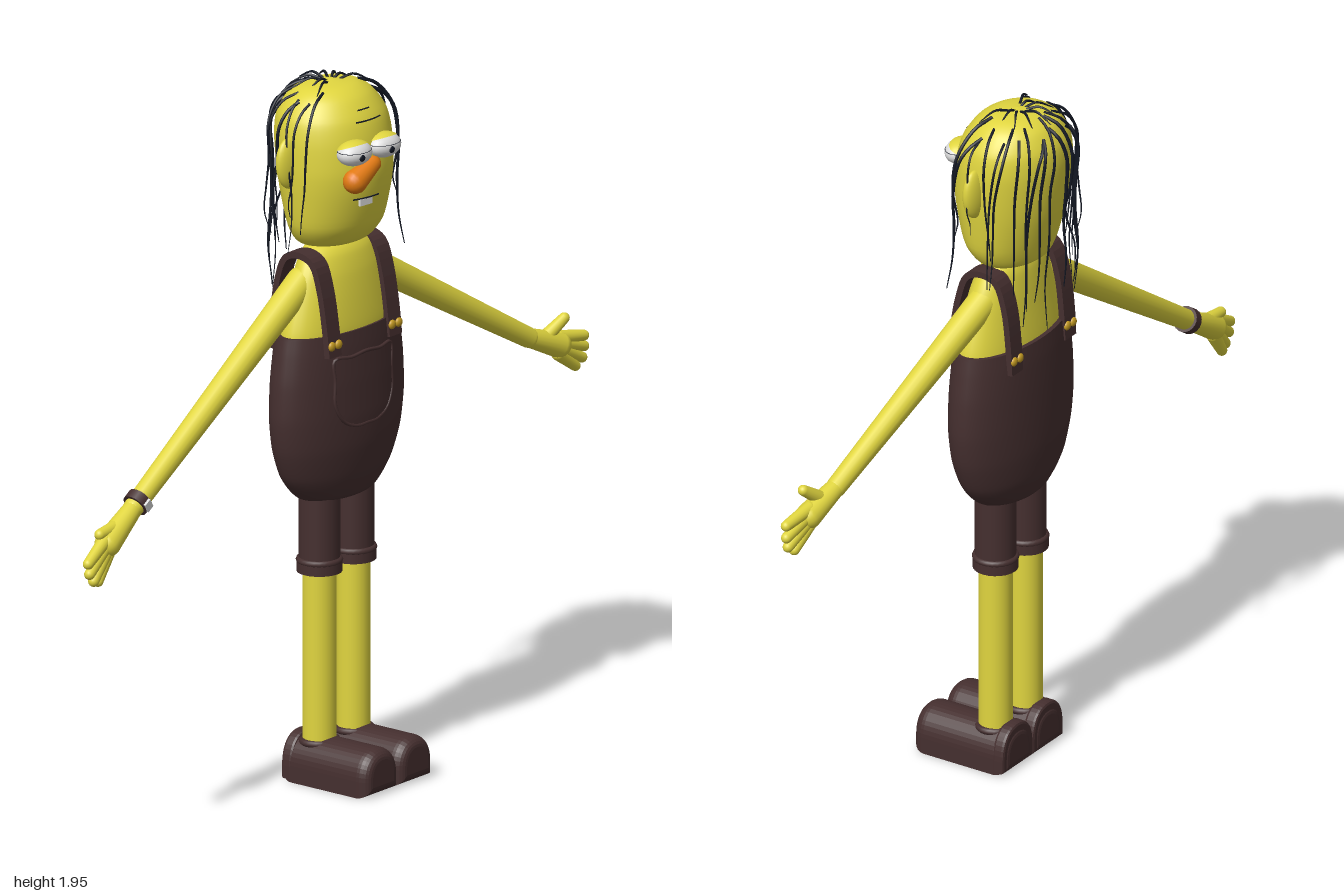
import * as THREE from 'three';

const V = (x, y, z) => new THREE.Vector3(x, y, z);
const mat = (name, color) => Object.assign(new THREE.MeshStandardMaterial({ color }), { name });
const CZ = -0.066; // body centre line in z
const YAW = 0.11; // slight turn of the body

// Cross-section rows: [y, centre x, half depth x, half width z]
const HEAD = [
  [1.494, -0.03, 0, 0], [1.495, -0.03, 0.05, 0.075], [1.512, -0.027, 0.085, 0.118],
  [1.56, -0.02, 0.11, 0.148], [1.65, -0.02, 0.135, 0.162], [1.72, -0.022, 0.146, 0.168],
  [1.8, -0.03, 0.147, 0.168], [1.86, -0.036, 0.136, 0.157], [1.91, -0.04, 0.105, 0.122],
  [1.935, -0.04, 0.065, 0.078], [1.945, -0.04, 0, 0],
];
const PANTS = [
  [0.79, -0.018, 0, 0], [0.795, -0.018, 0.068, 0.12], [0.82, -0.018, 0.085, 0.163],
  [0.87, -0.018, 0.1, 0.204], [0.95, -0.016, 0.111, 0.236], [1.04, -0.015, 0.114, 0.25],
  [1.14, -0.015, 0.113, 0.247], [1.22, -0.015, 0.11, 0.236], [1.275, -0.015, 0.105, 0.226],
];
const TORSO = [
  [1.2, -0.015, 0.096, 0.222], [1.28, -0.012, 0.094, 0.212], [1.36, -0.012, 0.085, 0.187],
  [1.43, -0.014, 0.075, 0.16], [1.48, -0.018, 0.063, 0.13], [1.505, -0.022, 0.045, 0.09],
  [1.51, -0.022, 0, 0],
];

// Stack of elliptical rings, smoothed between the rows
function loft(rows, seg = 40, steps = 48) {
  const centre = new THREE.CatmullRomCurve3(rows.map(r => V(r[0], r[1], 0)), false, 'catmullrom', 0.4);
  const radii = new THREE.CatmullRomCurve3(rows.map(r => V(r[2], r[3], 0)), false, 'catmullrom', 0.4);
  const pos = [], idx = [];
  for (let i = 0; i <= steps; i++) {
    const c = centre.getPoint(i / steps), r = radii.getPoint(i / steps);
    for (let j = 0; j < seg; j++) {
      const a = j / seg * Math.PI * 2;
      pos.push(c.y + Math.max(r.x, 0) * Math.cos(a), c.x, CZ + Math.max(r.y, 0) * Math.sin(a));
      if (i === steps) continue;
      const p = i * seg + j, q = i * seg + (j + 1) % seg;
      idx.push(p, p + seg, q, q, p + seg, q + seg);
    }
  }
  const g = new THREE.BufferGeometry();
  g.setAttribute('position', new THREE.Float32BufferAttribute(pos, 3));
  g.setIndex(idx);
  g.computeVertexNormals();
  return g;
}

function rowAt(rows, y) {
  let i = 0;
  while (i < rows.length - 2 && rows[i + 1][0] < y) i++;
  const t = THREE.MathUtils.clamp((y - rows[i][0]) / (rows[i + 1][0] - rows[i][0]), 0, 1);
  return rows[i].map((v, k) => v + (rows[i + 1][k] - v) * t);
}

// Point on the front of a lofted part, u = sideways offset from the centre
function front(rows, y, u, off = 0) {
  const [, cx, rx, rz] = rowAt(rows, y);
  return V(cx + rx * Math.sqrt(Math.max(0, 1 - (u / rz) ** 2)) + off, y, CZ + u);
}

// Strand that thins out towards its tip
function strandGeometry(pts, r, seg = 24) {
  const curve = new THREE.CatmullRomCurve3(pts), g = new THREE.TubeGeometry(curve, seg, r, 6);
  const pos = g.attributes.position, v = V(0, 0, 0);
  for (let i = 0; i < pos.count; i++) {
    const t = Math.floor(i / 7) / seg;
    v.fromBufferAttribute(pos, i).lerp(curve.getPointAt(t), 0.75 * t * t);
    pos.setXYZ(i, v.x, v.y, v.z);
  }
  return g;
}

export function createModel() {
  const skin = mat('skin yellow', 0xe0d53f), brown = mat('overall brown', 0x452f2f);
  const black = mat('hair black', 0x131824), white = mat('eye white', 0xdedede);
  const orange = mat('nose orange', 0xe27a12), gold = mat('button gold', 0xc39a22);
  const root = new THREE.Group(), body = new THREE.Group();
  body.name = 'body';
  body.rotation.y = YAW;
  body.position.set(-CZ * Math.sin(YAW), 0, CZ * (1 - Math.cos(YAW)));
  root.add(body);
  let current = body;
  const add = (name, geo, m, parent = current) => {
    const mesh = new THREE.Mesh(geo, m);
    mesh.name = name;
    parent.add(mesh);
    return mesh;
  };
  const ball = (name, m, p, r) => {
    const b = add(name, new THREE.SphereGeometry(1, 24, 16), m);
    b.position.copy(p);
    b.scale.set(...r);
    return b;
  };
  const tube = (name, m, pts, r, closed = false, seg = 24) =>
    add(name, new THREE.TubeGeometry(new THREE.CatmullRomCurve3(pts, closed), seg, r, 6, closed), m);
  // Tapered limb with round ends
  const limb = (name, m, a, b, ra, rb) => {
    const len = a.distanceTo(b), pts = [];
    for (let i = 0; i <= 6; i++) {
      const t = (i / 6 - 1) * Math.PI / 2;
      pts.push(new THREE.Vector2(ra * Math.cos(t), ra * Math.sin(t)));
    }
    for (let i = 0; i <= 6; i++) {
      const t = i / 6 * Math.PI / 2;
      pts.push(new THREE.Vector2(rb * Math.cos(t), len + rb * Math.sin(t)));
    }
    const l = add(name, new THREE.LatheGeometry(pts, 18), m);
    l.position.copy(a);
    l.quaternion.setFromUnitVectors(V(0, 1, 0), b.clone().sub(a).normalize());
  };

  // Torso and overalls
  add('torso', loft(TORSO), skin);
  add('overalls', loft(PANTS), brown);
  const rim = add('overallsRim', new THREE.CircleGeometry(1, 40).rotateX(-Math.PI / 2), brown);
  rim.position.set(-0.015, 1.274, CZ);
  rim.scale.set(0.105, 1, 0.226);

  // Chest pocket: curved plate with a raised border
  const halfWidth = t => 0.115 * Math.min(1, 0.45 + 0.95 * Math.sqrt(t));
  const plate = new THREE.PlaneGeometry(2, 1, 14, 14), pp = plate.attributes.position;
  const pocketPoint = (s, t, off) => front(PANTS, 1.012 + 0.195 * t, 0.012 - s * halfWidth(t), off);
  for (let i = 0; i < pp.count; i++) {
    const p = pocketPoint(pp.getX(i), pp.getY(i) + 0.5, 0.005);
    pp.setXYZ(i, p.x, p.y, p.z);
  }
  plate.computeVertexNormals();
  add('pocket', plate, brown);
  const border = [[-1, 1], [-1, 0.7], [-1, 0.35], [-1, 0.1], [-0.8, 0], [0, 0], [0.8, 0], [1, 0.1],
    [1, 0.35], [1, 0.7], [1, 1], [0.5, 1], [0, 1.03], [-0.5, 1]];
  tube('pocketBorder', brown, border.map(([s, t]) => pocketPoint(s, t, 0.003)), 0.005, true, 70);

  // Shoulder straps with buttons
  const arch = new THREE.CatmullRomCurve3([V(-0.108, 1.215, 0), V(-0.103, 1.3, 0), V(-0.088, 1.41, 0),
    V(-0.06, 1.478, 0), V(-0.015, 1.492, 0), V(0.03, 1.475, 0), V(0.056, 1.41, 0), V(0.076, 1.3, 0), V(0.085, 1.222, 0)]);
  const outer = [], inner = [];
  for (let i = 0; i <= 32; i++) {
    const p = arch.getPoint(i / 32), t = arch.getTangent(i / 32);
    outer.push(new THREE.Vector2(p.x - t.y * 0.009, p.y + t.x * 0.009));
    inner.unshift(new THREE.Vector2(p.x + t.y * 0.009, p.y - t.x * 0.009));
  }
  const strapGeo = new THREE.ExtrudeGeometry(new THREE.Shape([...outer, ...inner]), { depth: 0.052, bevelEnabled: false });
  for (const s of [1, -1]) {
    const z = CZ + 0.009 + s * 0.128;
    add('strap', strapGeo, brown).position.z = z - 0.026;
    for (const x of [0.092, -0.115])
      for (const d of [-0.014, 0.014]) ball('strapButton', gold, V(x, 1.255, z + d), [0.008, 0.013, 0.013]);
  }

  // Legs, cuffs and shoes
  const dShape = (w, h) => {
    const s = new THREE.Shape();
    s.moveTo(-w, 0);
    s.lineTo(w, 0);
    s.lineTo(w, h * 0.25);
    s.bezierCurveTo(w, h * 0.75, w * 0.6, h, 0, h);
    s.bezierCurveTo(-w * 0.6, h, -w, h * 0.75, -w, h * 0.25);
    return s;
  };
  for (const z of [0.006, -0.139]) {
    const cyl = (name, m, r, y0, y1) =>
      add(name, new THREE.CylinderGeometry(r, r, y1 - y0, 24), m).position.set(-0.015, (y0 + y1) / 2, z);
    cyl('leg', skin, 0.046, 0.08, 0.62);
    cyl('trouserLeg', brown, 0.056, 0.6, 0.86);
    cyl('trouserCuff', brown, 0.062, 0.588, 0.622);
    const rolled = add('cuffRoll', new THREE.TorusGeometry(0.055, 0.009, 8, 28).rotateX(Math.PI / 2), brown);
    rolled.position.set(-0.015, 0.62, z);
    const shoe = add('shoe', new THREE.ExtrudeGeometry(dShape(0.045, 0.07),
      { depth: 0.225, bevelThickness: 0.036, bevelSize: 0.028, bevelSegments: 6, curveSegments: 10 }).rotateY(Math.PI / 2), brown);
    shoe.position.set(-0.055, 0.03, z);
    const heel = add('shoeHeel', new THREE.ExtrudeGeometry(dShape(0.066, 0.11),
      { depth: 0.02, bevelThickness: 0.008, bevelSize: 0.008, bevelSegments: 2, curveSegments: 10 }).rotateY(Math.PI / 2), brown);
    heel.position.set(-0.08, 0.018, z);
    const collar = add('shoeCollar', new THREE.TorusGeometry(0.048, 0.01, 8, 24).rotateX(Math.PI / 2), brown);
    collar.position.set(-0.015, 0.112, z);
  }

  // Arms and hands: shoulder, wrist, palm end, thumb tip, finger tips
  current = root;
  const arms = [
    { side: 'left', s: V(-0.012, 1.41, 0.07), w: V(0.052, 0.945, 0.765), p: V(0.075, 0.875, 0.885), t: V(0.075, 0.907, 0.915),
      f: [V(0.1, 0.845, 0.983), V(0.1, 0.815, 0.978), V(0.095, 0.79, 0.958), V(0.085, 0.782, 0.932)] },
    { side: 'right', s: V(-0.028, 1.41, -0.19), w: V(-0.002, 1.068, -0.775), p: V(0.0, 1.025, -0.885), t: V(0.012, 1.1, -0.895),
      f: [V(0, 1.03, -0.98), V(-0.005, 0.998, -0.985), V(-0.005, 0.968, -0.978), V(-0.005, 0.95, -0.953)] },
  ];
  for (const { side, s, w, p, t, f } of arms) {
    limb(side + 'Arm', skin, s, w, 0.042, 0.028);
    limb(side + 'Palm', skin, w, p, 0.026, 0.036);
    limb(side + 'Thumb', skin, w.clone().lerp(p, 0.45), t, 0.021, 0.015);
    f.forEach((tip, i) =>
      limb(side + 'Finger', skin, p.clone().add(V(0, 0.02 - i * 0.015, 0)), tip, 0.02, 0.015));
  }

  // Wristwatch
  const { s, w } = arms[0], along = w.clone().sub(s).normalize();
  const watch = new THREE.Group();
  watch.name = 'watch';
  watch.position.copy(w).addScaledVector(along, -0.02);
  watch.quaternion.setFromUnitVectors(V(0, 1, 0), along);
  root.add(watch);
  add('watchBand', new THREE.CylinderGeometry(0.036, 0.036, 0.028, 20), brown, watch);
  add('watchFace', new THREE.BoxGeometry(0.008, 0.024, 0.028), white, watch).position.x = 0.036;

  // Head and face
  add('head', loft(HEAD), skin);
  for (const [z, pz] of [[-0.004, 0.004], [-0.113, -0.107]]) {
    const eye = ball('eye', white, V(0.115, 1.783, z), [0.041, 0.034, 0.054]);
    const line = add('eyelidLine', new THREE.TorusGeometry(0.965, 0.02, 6, 32).rotateX(Math.PI / 2), black, eye);
    line.position.y = 0.26;
    const lid = add('eyelid', new THREE.SphereGeometry(1.05, 24, 10, 0, Math.PI * 2, 0, 1.05), skin, eye);
    lid.rotation.z = 0.42;
    ball('pupil', black, V(0.153, 1.779, pz), [0.005, 0.01, 0.01]);
  }
  limb('nose', orange, V(0.118, 1.74, -0.068), V(0.122, 1.706, 0.0), 0.024, 0.034);
  for (const d of [1, -1]) {
    const ear = ball('ear', skin, V(-0.03, 1.745, CZ + d * 0.165), [0.022, 0.072, 0.045]);
    ear.rotation.x = d * 0.08;
  }
  const crease = (name, y, u0, u1) =>
    tube(name, black, [0, 0.25, 0.5, 0.75, 1].map(k => front(HEAD, y, u0 + (u1 - u0) * k, 0.001)), 0.0022);
  crease('mouth', 1.648, -0.03, 0.06);
  crease('browCrease', 1.858, -0.055, 0.04);
  crease('browCrease', 1.885, -0.025, 0.02);
  const teeth = add('teeth', new THREE.BoxGeometry(0.008, 0.018, 0.045), white);
  teeth.position.copy(front(HEAD, 1.637, 0.018, 0.001));

  // Long thin hair, sparse around the sides and back
  let seed = 11;
  const rand = () => (seed = (seed * 16807) % 2147483647) / 2147483647;
  const at = (y, ang, off) => {
    const [, cx, rx, rz] = rowAt(HEAD, Math.max(y, 1.73));
    return V(cx + (rx + off) * Math.cos(ang), y, CZ + (rz + off) * Math.sin(ang));
  };
  const N = 22;
  for (let i = 0; i < N; i++) {
    const a = THREE.MathUtils.degToRad(64 + 232 * (i + 0.8 * rand()) / N);
    const back = Math.max(0, -Math.cos(a));
    const end = 1.64 - 0.13 * back - 0.19 * rand();
    const lift = 0.004 + 0.02 * rand() + (a > 4 ? 0.012 : 0);
    const drift = (rand() - 0.5) * 0.6, top = 1.89 + 0.045 * rand();
    const pts = [at(top, a + drift * 0.7, 0.002), at(top - 0.02, a + drift * 0.3, lift * 0.6 + 0.006),
      at(1.84, a, lift + 0.002), at(1.74, a - drift * 0.3, lift)];
    for (const k of [0.35, 0.7, 1])
      pts.push(at(1.74 + (end - 1.74) * k, a - drift * (0.3 + 0.4 * k), lift + (rand() - 0.6) * 0.03));
    add('hairStrand', strandGeometry(pts, 0.0035 + 0.0018 * rand()), black);
  }
  // Loose tufts on the crown
  for (let i = 0; i < 9; i++) {
    const a = 1.1 + 4 * i / 8, r = 0.03 + 0.04 * rand();
    const reach = k => V(-0.04 + k * Math.cos(a), 0, CZ + k * Math.sin(a));
    add('crownTuft', strandGeometry([reach(r * 0.4).setY(1.94), reach(r).setY(1.95), reach(r + 0.05).setY(1.926)], 0.004, 10), black);
  }
  return root;
}
